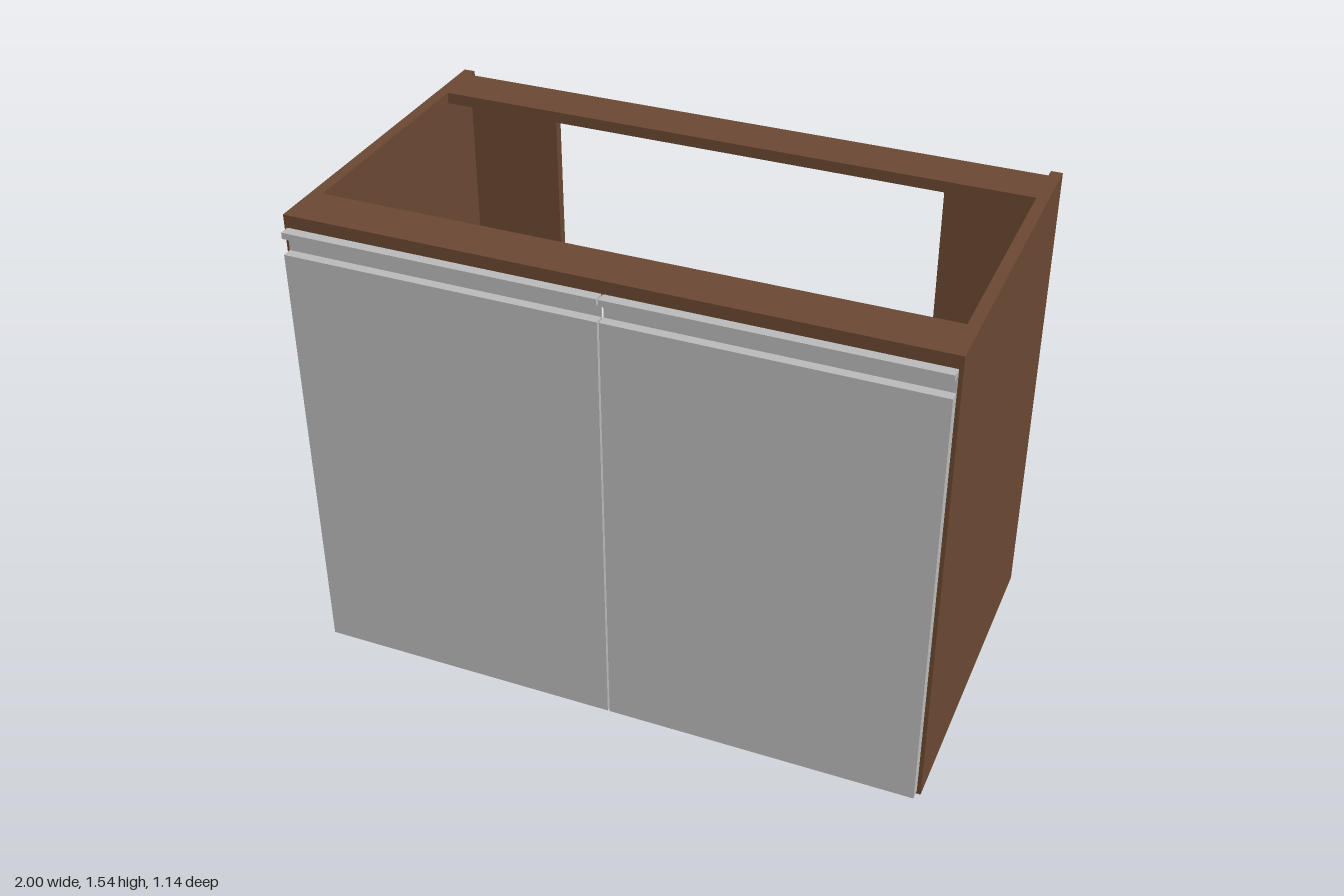
import * as THREE from 'three';

const brown = new THREE.MeshStandardMaterial({ name: 'brown board', color: 0x6b4933 });
const darkBrown = new THREE.MeshStandardMaterial({ name: 'dark brown shelf', color: 0x4a2c0e });
const grey = new THREE.MeshStandardMaterial({ name: 'grey front', color: 0xbbbbbb });

// Box given by its extents along each axis
function board(name, material, [x0, x1], [y0, y1], [z0, z1]) {
  const mesh = new THREE.Mesh(new THREE.BoxGeometry(x1 - x0, y1 - y0, z1 - z0), material);
  mesh.position.set((x0 + x1) / 2, (y0 + y1) / 2, (z0 + z1) / 2);
  mesh.name = name;
  return mesh;
}

export function createModel() {
  const cabinet = new THREE.Group();
  cabinet.name = 'cabinet';

  const height = 1.54, t = 0.036;
  const back = -0.572, front = 0.535, face = 0.572;
  const inner = [-1 + t, 1 - t];

  // Carcass: floor, top rails and shelf
  cabinet.add(
    board('bottomPanel', brown, inner, [0, t], [back, front]),
    board('frontRail', brown, inner, [height - 0.07, height], [0.38, front]),
    board('rearRail', brown, inner, [height - t, height], [-0.54, -0.385]),
    board('shelf', darkBrown, inner, [0.55, 0.586], [-0.54, 0.362]),
  );

  for (const s of [-1, 1]) {
    const side = s < 0 ? 'right' : 'left';
    const span = (a, b) => (s < 0 ? [-b, -a] : [a, b]);

    // Side walls and the two narrow back panels
    cabinet.add(
      board(side + 'SidePanel', brown, span(1 - t, 1), [0, height], [back, front]),
      board(side + 'BackPanel', brown, span(0.655, 1 - t), [t, 1.498], [back, -0.54]),
    );

    // Door with a recessed grip: thin back plate and top lip
    const door = new THREE.Group();
    door.name = side + 'Door';
    const width = span(0.003, 0.988);
    door.add(
      board('doorPanel', grey, width, [0.014, 1.43], [front + 0.001, face]),
      board('gripPlate', grey, width, [1.43, 1.5], [front + 0.001, front + 0.006]),
      board('gripLip', grey, width, [1.482, 1.502], [front + 0.006, face]),
    );
    cabinet.add(door);
  }
  return cabinet;
}
